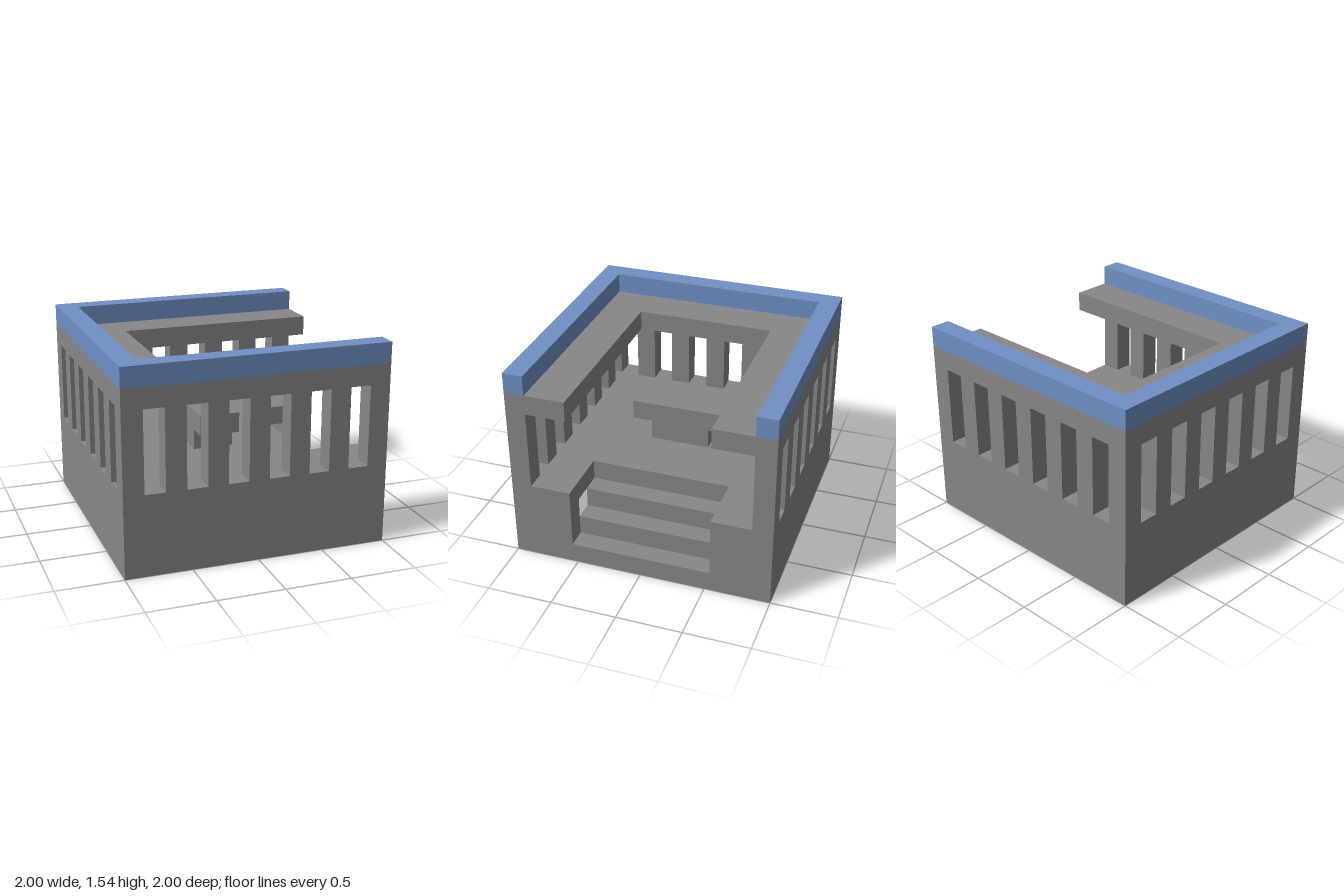
import * as THREE from 'three';

// Everything sits on a 13 x 13 x 10 block grid.
const U = 2 / 13;

export function createModel() {
  const model = new THREE.Group();
  const stone = new THREE.MeshStandardMaterial({ color: 0x878787 });
  stone.name = 'grey stone';
  const trim = new THREE.MeshStandardMaterial({ color: 0x7090c4 });
  trim.name = 'blue trim';

  const add = (name, geometry, material = stone) => {
    geometry.scale(U, U, U);
    const mesh = new THREE.Mesh(geometry, material);
    mesh.name = name;
    model.add(mesh);
    return mesh;
  };
  const box = (name, x0, x1, y0, y1, z0, z1) => add(name,
    new THREE.BoxGeometry(x1 - x0, y1 - y0, z1 - z0)
      .translate((x0 + x1) / 2, (y0 + y1) / 2, (z0 + z1) / 2));
  const outline = (points) => new THREE.Shape(points.map(([x, y]) => new THREE.Vector2(x, y)));
  const extrude = (shape, depth) => new THREE.ExtrudeGeometry(shape, { depth, bevelEnabled: false });

  // Horizontal U-shaped slab, open towards +x
  const uSlab = (name, outerX, outerZ, innerX, innerZ, y0, y1, material) => {
    const shape = outline([
      [outerX, -outerZ], [6.5, -outerZ], [6.5, -innerZ], [innerX, -innerZ],
      [innerX, innerZ], [6.5, innerZ], [6.5, outerZ], [outerX, outerZ],
    ]);
    add(name, extrude(shape, y1 - y0).rotateX(-Math.PI / 2).translate(0, y0, 0), material);
  };

  // Wall panel one block thick with six tall window slots
  const windowWall = () => {
    const shape = outline([[-6.5, 0], [6.5, 0], [6.5, 9], [-6.5, 9]]);
    for (let i = 0; i < 6; i++) {
      const x = -5.5 + 2 * i;
      shape.holes.push(outline([[x, 4], [x, 8], [x + 1, 8], [x + 1, 4]]));
    }
    return extrude(shape, 1);
  };
  add('frontWall', windowWall().translate(0, 0, 5.5));
  add('backWall', windowWall().translate(0, 0, -6.5));
  add('endWall', windowWall().rotateY(Math.PI / 2).translate(-6.5, 0, 0));

  // Low walls either side of the stairs
  box('entranceWallFront', 5.5, 6.5, 0, 3, 3.5, 6.5);
  box('entranceWallBack', 5.5, 6.5, 0, 3, -6.5, -3.5);

  // Raised floor over a hollow base, upper walkway and blue parapet
  uSlab('floor', -6.5, 6.5, 2.5, 3.5, 3, 4);
  uSlab('walkway', -6.5, 6.5, -3.5, 3.5, 8, 9);
  uSlab('parapet', -6.5, 6.5, -5.5, 5.5, 9, 10, trim);

  // Solid staircase set into the entrance side
  const stairs = outline([
    [2.5, 0], [6.5, 0], [6.5, 1], [5.5, 1], [5.5, 2],
    [4.5, 2], [4.5, 3], [3.5, 3], [3.5, 4], [2.5, 4],
  ]);
  add('stairs', extrude(stairs, 7).translate(0, 0, -3.5));

  // Table with a broad pedestal
  box('tablePedestal', -1.5, 0.5, 4, 5, -1.5, 1.5);
  box('tableTop', -1.5, 0.5, 5, 6, -2.5, 2.5);

  return model;
}
